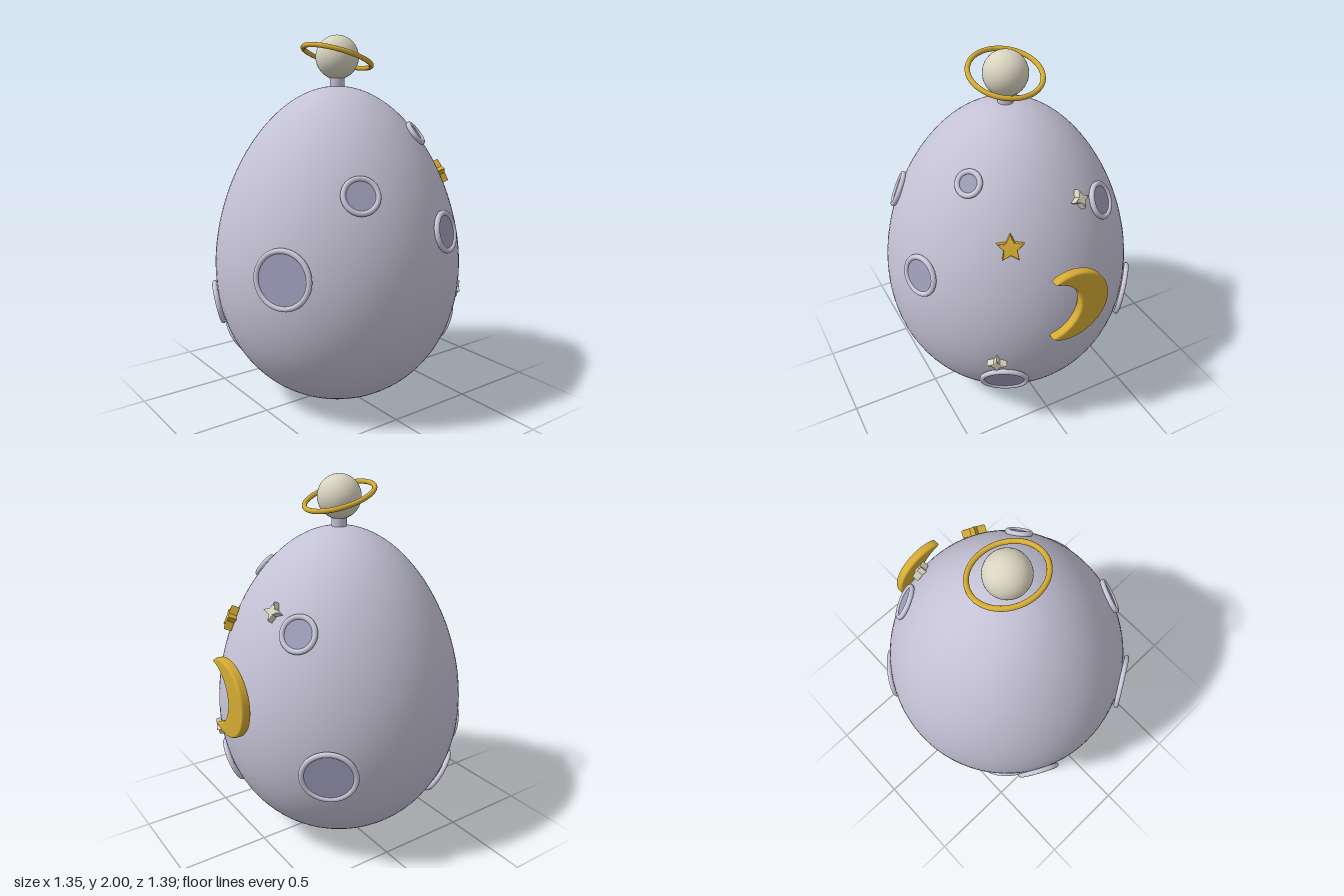
import * as THREE from 'three';

const mat = (name, color) => {
  const m = new THREE.MeshStandardMaterial({ color });
  m.name = name;
  return m;
};

const CY = 0.868, HALF = 0.868, CZ = 0.02; // egg centre, half height, depth offset

// Egg profile: radius and height for a polar angle (0 = bottom, PI = top)
function profile(a) {
  const t = -Math.cos(a);
  return new THREE.Vector2((0.67 - 0.09 * t) * Math.sin(a), CY + HALF * t);
}

// Point and outward normal on the egg at height y, in the direction (x, z)
function onEgg(x, y, z) {
  const a = Math.acos((CY - y) / HALF);
  const p = profile(a);
  const d = profile(a + 0.01).sub(profile(a - 0.01));
  const az = Math.atan2(x, z - CZ);
  const n = new THREE.Vector3(d.y * Math.sin(az), -d.x, d.y * Math.cos(az)).normalize();
  return { pos: new THREE.Vector3(p.x * Math.sin(az), y, CZ + p.x * Math.cos(az)), n };
}

// Sit an object on the egg with its +z axis pointing outward
function attach(obj, x, y, z, lift) {
  const { pos, n } = onEgg(x, y, z);
  obj.position.copy(pos).addScaledVector(n, lift);
  obj.lookAt(obj.position.clone().add(n));
  return obj;
}

function extrude(shape, depth, bevel, segments) {
  const g = new THREE.ExtrudeGeometry(shape, {
    depth: depth - 2 * bevel, bevelEnabled: true, bevelThickness: bevel,
    bevelSize: bevel, bevelSegments: segments, curveSegments: 32,
  });
  return g.translate(0, 0, bevel - depth / 2);
}

function starGeometry(points, outer, inner, depth) {
  const pts = [];
  for (let i = 0; i < points * 2; i++) {
    const r = i % 2 ? inner : outer;
    const a = Math.PI / 2 + (i * Math.PI) / points;
    pts.push(new THREE.Vector2(r * Math.cos(a), r * Math.sin(a)));
  }
  return extrude(new THREE.Shape(pts), depth, 0.006, 2);
}

export function createModel() {
  const group = new THREE.Group();
  const shell = mat('moonGrey', 0xc3c1d4);
  const rimMat = mat('rimGrey', 0xc9c7d9);
  const floorMat = mat('craterFloor', 0x9f9dba);
  const gold = mat('gold', 0xd4ab33);
  const pale = mat('paleCream', 0xd8d4c0);

  const add = (name, geo, material, parent = group) => {
    const m = new THREE.Mesh(geo, material);
    m.name = name;
    parent.add(m);
    return m;
  };

  // Egg body
  const pts = [];
  for (let i = 0; i <= 56; i++) pts.push(profile((i / 56) * Math.PI));
  pts[0].x = pts[56].x = 0;
  add('eggBody', new THREE.LatheGeometry(pts, 80), shell).position.z = CZ;

  // Craters: position on the egg and rim radius
  const craters = [
    [0.355, 0.845, 0.605, 0.14],
    [-0.3, 0.565, 0.61, 0.108],
    [-0.4, 0.335, 0.44, 0.123],
    [0.52, 1.235, 0.265, 0.085],
    [0.33, 1.49, -0.24, 0.058],
    [0.605, 1.015, -0.215, 0.097],
    [0.29, 0.395, -0.52, 0.12],
    [-0.31, 1.31, -0.43, 0.085],
    [-0.53, 0.63, -0.405, 0.137],
  ];
  for (const [x, y, z, r] of craters) {
    const crater = new THREE.Group();
    crater.name = 'crater';
    add('craterRim', new THREE.TorusGeometry(r, 0.014, 12, 40), rimMat, crater);
    const floor = add('craterFloor', new THREE.CylinderGeometry(r, r, 0.008, 40), floorMat, crater);
    floor.rotation.x = Math.PI / 2;
    group.add(attach(crater, x, y, z, 0.006));
  }

  // Stars
  const goldStar = add('goldStar', starGeometry(5, 0.062, 0.028, 0.045), gold);
  attach(goldStar, 0.25, 1.25, -0.51, 0.02);
  for (const [x, y, z] of [[-0.15, 1.38, -0.47], [0.36, 0.59, -0.57]]) {
    attach(add('paleStar', starGeometry(4, 0.043, 0.016, 0.04), pale), x, y, z, 0.018);
  }

  // Crescent on the back, horns towards +x
  const R = 0.198, r = 0.182, c = 0.12;
  const tipX = (R * R - r * r + c * c) / (2 * c);
  const tipY = Math.sqrt(R * R - tipX * tipX);
  const ao = Math.atan2(tipY, tipX), ai = Math.atan2(tipY, tipX - c);
  const crescent = new THREE.Shape();
  crescent.absarc(0, 0, R, ao, 2 * Math.PI - ao, false);
  crescent.absarc(c, 0, r, 2 * Math.PI - ai, ai, true);
  add('crescent', extrude(crescent, 0.05, 0.012, 4), gold).position.set(0, 0.93, -0.672);

  // Finial: stem, ball and tilted ring
  add('stem', new THREE.CylinderGeometry(0.04, 0.04, 0.1, 24), shell).position.set(0, 1.75, CZ);
  add('finialBall', new THREE.SphereGeometry(0.115, 40, 28), pale).position.set(0, 1.885, CZ);
  const ring = add('finialRing', new THREE.TorusGeometry(0.187, 0.013, 12, 64), gold);
  ring.position.set(0, 1.887, CZ);
  ring.rotation.x = Math.PI / 2 - 0.32;

  return group;
}
